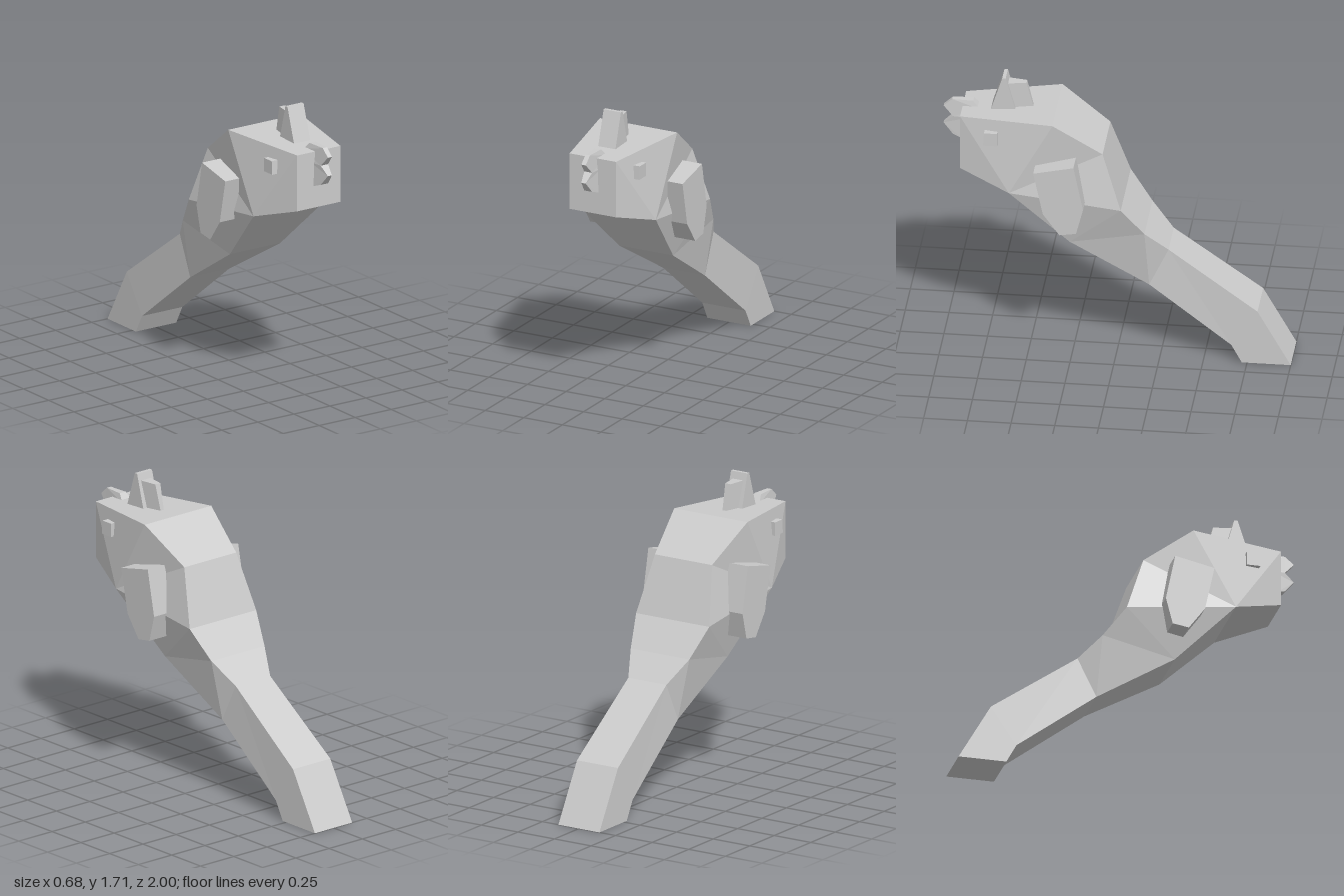
import * as THREE from 'three';

const grey = new THREE.MeshStandardMaterial({ color: 0xcccccc, flatShading: true });

function addMesh(group, name, geometry) {
  const mesh = new THREE.Mesh(geometry, grey);
  mesh.name = name;
  group.add(mesh);
  return mesh;
}

// Side outline of [z, y] points extruded across x; taper(z, y) scales the width
function prism(outline, x0, x1, taper) {
  const shape = new THREE.Shape(outline.map(([z, y]) => new THREE.Vector2(-z, y)));
  const geo = new THREE.ExtrudeGeometry(shape, { depth: x1 - x0, bevelEnabled: false });
  geo.rotateY(Math.PI / 2).translate(x0, 0, 0);
  if (taper) {
    const p = geo.attributes.position;
    for (let i = 0; i < p.count; i++) p.setX(i, p.getX(i) * taper(p.getZ(i), p.getY(i)));
  }
  geo.computeVertexNormals();
  return geo;
}

// Four-cornered sections joined from front to back, closed at both ends
function loft(sections) {
  const pos = [], index = [];
  for (const [zt, yt, wt, zb, yb, wb] of sections)
    pos.push(-wt, yt, zt, wt, yt, zt, wb, yb, zb, -wb, yb, zb);
  const last = (sections.length - 1) * 4;
  for (let s = 0; s < last; s += 4) {
    for (let k = 0; k < 4; k++) {
      const a = s + k, b = s + (k + 1) % 4, c = b + 4, d = a + 4;
      // the left flank uses the mirrored diagonal
      if (k === 3) index.push(a, b, d, b, c, d);
      else index.push(a, b, c, a, c, d);
    }
  }
  index.push(0, 3, 2, 0, 2, 1, last, last + 1, last + 2, last, last + 2, last + 3);
  const geo = new THREE.BufferGeometry();
  geo.setAttribute('position', new THREE.Float32BufferAttribute(pos, 3));
  geo.setIndex(index);
  const flat = geo.toNonIndexed();
  flat.computeVertexNormals();
  return flat;
}

export function createModel() {
  const model = new THREE.Group();
  model.name = 'creature';

  // Head, neck and tail: top z, y, half width, then bottom z, y, half width
  addMesh(model, 'body', loft([
    [0.89, 1.50, 0.15, 0.89, 1.165, 0.15],
    [0.35, 1.525, 0.25, 0.60, 1.075, 0.25],
    [0.07, 1.33, 0.195, 0.60, 1.075, 0.25],
    [-0.04, 1.00, 0.25, 0.60, 1.075, 0.25],
    [-0.17, 0.83, 0.20, 0.26, 0.74, 0.175],
    [-0.30, 0.70, 0.13, -0.19, 0.47, 0.135],
    [-0.81, 0.335, 0.14, -0.66, 0.11, 0.14],
    [-1.00, 0, 0.14, -0.72, 0, 0.14],
  ]));

  // Paired fins and eyes
  const fin = [[0.45, 1.26], [0.22, 1.31], [0.165, 1.04], [0.205, 0.885], [0.30, 0.87], [0.395, 1.0]];
  const eye = [[0.745, 1.44], [0.67, 1.44], [0.67, 1.36], [0.75, 1.36]];
  for (const [side, name] of [[1, 'left'], [-1, 'right']]) {
    const span = (a, b) => (side > 0 ? [a, b] : [-b, -a]);
    addMesh(model, name + 'Fin', prism(fin, ...span(0.19, 0.34)));
    addMesh(model, name + 'Eye', prism(eye, ...span(0.15, 0.225)));
  }

  // Upright crest with a narrow spur behind it
  addMesh(model, 'crest', prism([[0.73, 1.49], [0.66, 1.71], [0.64, 1.71], [0.58, 1.49]], -0.056, 0.056));
  addMesh(model, 'crestSpur', prism(
    [[0.62, 1.49], [0.63, 1.668], [0.525, 1.668], [0.48, 1.49]], -0.036, 0.036,
    (z) => THREE.MathUtils.mapLinear(z, 0.48, 0.63, 0.3, 1)));

  // Beak, narrowing to its tips and along its ridge
  const narrow = (z, y) => {
    const tip = THREE.MathUtils.clamp((z - 0.89) / 0.11, 0, 1);
    return (1 - 0.62 * tip) * (y > 1.52 ? 0.6 : 1);
  };
  addMesh(model, 'upperBeak', prism(
    [[0.79, 1.49], [0.83, 1.535], [0.95, 1.535], [1.0, 1.49], [0.945, 1.43], [0.86, 1.43]],
    -0.037, 0.037, narrow));
  addMesh(model, 'lowerBeak', prism(
    [[0.86, 1.43], [0.945, 1.43], [1.0, 1.38], [0.945, 1.315], [0.89, 1.295], [0.86, 1.295]],
    -0.037, 0.037, narrow));

  return model;
}
